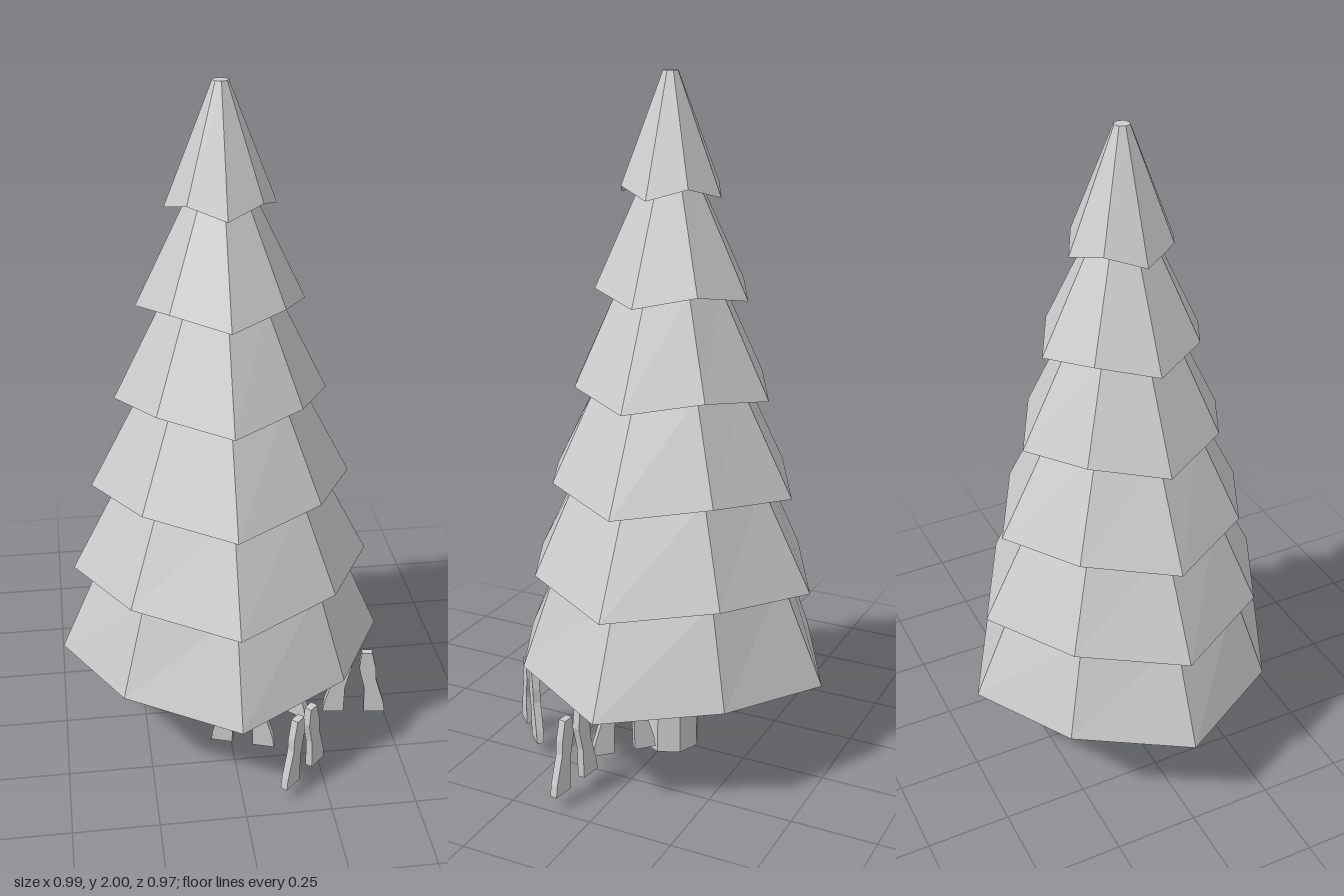
import * as THREE from 'three';

const material = new THREE.MeshStandardMaterial({ color: 0xcccccc, flatShading: true });
const SIDES = 8;
const AXIS_X = -0.01;

// Stack of octagonal rings; a drooping ring has its odd corners raised and pulled in.
function ringStack(rings) {
  const positions = [];
  const index = [];
  rings.forEach(([radius, y, droop]) => {
    for (let i = 0; i < SIDES; i++) {
      const odd = droop && i % 2 === 1;
      const r = radius * (odd ? 0.935 : 1);
      const a = (i / SIDES) * Math.PI * 2;
      positions.push(Math.sin(a) * r, y + (odd ? 0.03 : 0), Math.cos(a) * r);
    }
  });
  for (let k = 0; k < rings.length - 1; k++) {
    for (let i = 0; i < SIDES; i++) {
      const a = k * SIDES + i;
      const b = k * SIDES + ((i + 1) % SIDES);
      index.push(a, b, b + SIDES, a, b + SIDES, a + SIDES);
    }
  }
  const indexed = new THREE.BufferGeometry();
  indexed.setAttribute('position', new THREE.Float32BufferAttribute(positions, 3));
  indexed.setIndex(index);
  const geometry = indexed.toNonIndexed();
  geometry.computeVertexNormals();
  return geometry;
}

// One small splayed prong, wide at the foot and pinched at the middle.
function prongGeometry() {
  const shape = new THREE.Shape([
    [0.032, 0.04], [0.097, 0.04], [0.092, 0.075], [0.066, 0.16], [0.064, 0.2],
    [0.05, 0.26], [0.018, 0.26], [0.012, 0.205], [0.03, 0.13],
  ].map(([x, y]) => new THREE.Vector2(x, y)));
  const geometry = new THREE.ExtrudeGeometry(shape, { depth: 0.022, bevelEnabled: false });
  geometry.translate(0, 0, -0.011);
  return geometry;
}

export function createModel() {
  const model = new THREE.Group();
  model.name = 'tree';

  const add = (parent, name, geometry) => {
    const mesh = new THREE.Mesh(geometry, material);
    mesh.name = name;
    parent.add(mesh);
    return mesh;
  };

  // Trunk
  const trunk = add(model, 'trunk', new THREE.CylinderGeometry(0.08, 0.09, 0.34, SIDES));
  trunk.position.set(AXIS_X, 0.17, 0);

  // Foliage: each tier is [rim radius, rim height], narrowing up to the underside of the next
  const tiers = [[0.485, 0.29], [0.44, 0.57], [0.377, 0.845], [0.302, 1.12], [0.235, 1.395], [0.152, 1.67]];
  const necks = [[0.352, 0.6], [0.285, 0.875], [0.22, 1.15], [0.152, 1.425], [0.088, 1.7], [0.022, 2]];
  const rings = [[0.001, 0.335], [0.42, 0.335]];
  tiers.forEach(([radius, y], i) => rings.push([radius, y, true], necks[i]));
  rings.push([0.0001, 2]);
  add(model, 'foliage', ringStack(rings)).position.x = AXIS_X;

  // Pairs of prongs scattered under the branches: [x, z, turn]
  const prong = prongGeometry();
  [
    [0.395, 0.108, -0.13],
    [0.185, 0.375, 0.79],
    [0.03, 0.215, -0.33],
    [0.175, 0.065, -0.79],
  ].forEach(([x, z, turn], i) => {
    const pair = new THREE.Group();
    pair.name = `prongPair${i + 1}`;
    pair.position.set(x, 0, z);
    pair.rotation.y = turn;
    add(pair, 'leftProng', prong);
    add(pair, 'rightProng', prong).rotation.y = Math.PI;
    model.add(pair);
  });

  return model;
}
